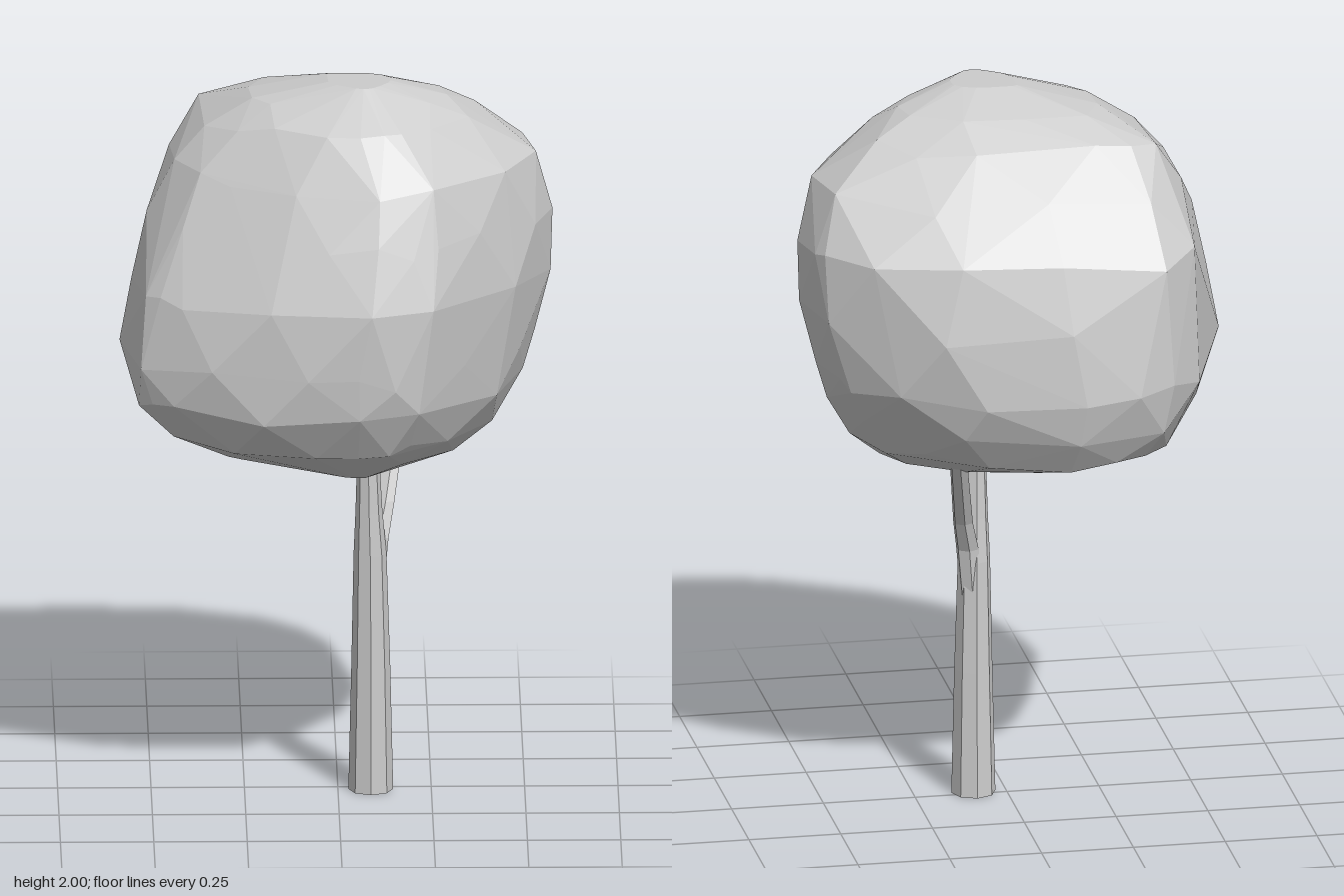
import * as THREE from 'three';
import { ConvexGeometry } from 'three/addons/geometries/ConvexGeometry.js';

const material = new THREE.MeshStandardMaterial({ color: 0xcccccc, flatShading: true });

// Crown outline seen from above (x, z)
const OUTLINE = [
  [-0.58, 0.05], [-0.55, 0.26], [-0.51, 0.3], [-0.45, 0.35], [-0.32, 0.42], [-0.2, 0.465],
  [-0.06, 0.5], [0.08, 0.507], [0.18, 0.495], [0.25, 0.46], [0.37, 0.34], [0.48, 0.21],
  [0.53, 0.12], [0.58, -0.03], [0.56, -0.21], [0.54, -0.26], [0.42, -0.39], [0.25, -0.47],
  [0.18, -0.485], [-0.1, -0.51], [-0.25, -0.49], [-0.35, -0.445], [-0.44, -0.34], [-0.5, -0.2],
];
// Outline corners kept on every level
const CORNERS = [0, 2, 7, 9, 13, 15, 19, 21];

// Crown levels: y, x min, x max, z min, z max
const LEVELS = [
  [2, -0.03, 0.14, 0.01, 0.16],
  [1.95, -0.24, 0.29, -0.12, 0.23],
  [1.89, -0.37, 0.38, -0.22, 0.3],
  [1.77, -0.45, 0.53, -0.33, 0.4],
  [1.62, -0.52, 0.575, -0.44, 0.45],
  [1.45, -0.555, 0.57, -0.49, 0.51],
  [1.27, -0.585, 0.53, -0.51, 0.5],
  [1.16, -0.54, 0.5, -0.485, 0.49],
  [1.06, -0.47, 0.44, -0.42, 0.41],
  [0.98, -0.31, 0.35, -0.22, 0.27],
  [0.9, 0, 0.1, 0.03, 0.12],
];

// How much each quarter swells (+) or recedes (-) above and below the middle
const MIDDLE = 1.4;
function swell(nx, nz, y) {
  const [above, below] = nx < 0
    ? (nz < 0 ? [1.3, 0.3] : [-0.65, 0.4])
    : (nz < 0 ? [0, -0.6] : [0, 0.35]);
  const slope = y > MIDDLE ? above : below;
  return 1 + slope * Math.abs(nx * nz) * Math.abs(y - MIDDLE);
}

function seeded(seed) {
  return () => (seed = (seed * 16807) % 2147483647) / 2147483647;
}

// Faceted crown: hull around staggered, slightly uneven rings
function createCrown() {
  const random = seeded(41);
  const { clamp, lerp } = THREE.MathUtils;
  const points = [];
  LEVELS.forEach(([y, x0, x1, z0, z1], row) => {
    const inner = row > 1 && row < LEVELS.length - 2;
    OUTLINE.forEach(([ox, oz], i) => {
      if ((i + row) % 2 && !CORNERS.includes(i)) return;
      const nx = ox / 0.58, nz = oz / 0.51;
      const s = swell(nx, nz, y);
      points.push(new THREE.Vector3(
        lerp(x0, x1, (clamp(nx * s, -1, 1) + 1) / 2),
        y + (inner ? (random() - 0.5) * 0.04 : 0),
        lerp(z0, z1, (clamp(nz * s, -1, 1) + 1) / 2)
      ));
    });
  });
  const mesh = new THREE.Mesh(new ConvexGeometry(points), material);
  mesh.name = 'crown';
  return mesh;
}

// Tapered limb through stations of [x, y, z, radius], bottom to top
function createLimb(name, stations, sides) {
  const rows = stations.length - 1;
  const geometry = new THREE.CylinderGeometry(1, 1, 1, sides, rows);
  const pos = geometry.attributes.position;
  for (let i = 0; i < pos.count; i++) {
    const [x, y, z, r] = stations[Math.round((pos.getY(i) + 0.5) * rows)];
    pos.setXYZ(i, x + pos.getX(i) * r, y, z + pos.getZ(i) * r);
  }
  geometry.computeVertexNormals();
  const mesh = new THREE.Mesh(geometry, material);
  mesh.name = name;
  return mesh;
}

export function createModel() {
  const tree = new THREE.Group();
  tree.name = 'tree';
  tree.add(
    createCrown(),
    createLimb('trunk', [
      [0.088, 0, 0.019, 0.06],
      [0.088, 0.35, 0.02, 0.052],
      [0.086, 0.66, 0.022, 0.044],
      [0.083, 0.78, 0.027, 0.036],
      [0.08, 1.0, 0.032, 0.027],
    ], 8),
    createLimb('branch', [
      [0.096, 0.56, 0.012, 0.03],
      [0.108, 0.7, -0.002, 0.032],
      [0.128, 0.79, -0.045, 0.028],
      [0.165, 1.0, -0.18, 0.025],
      [0.185, 1.08, -0.23, 0.02],
    ], 6)
  );
  return tree;
}
